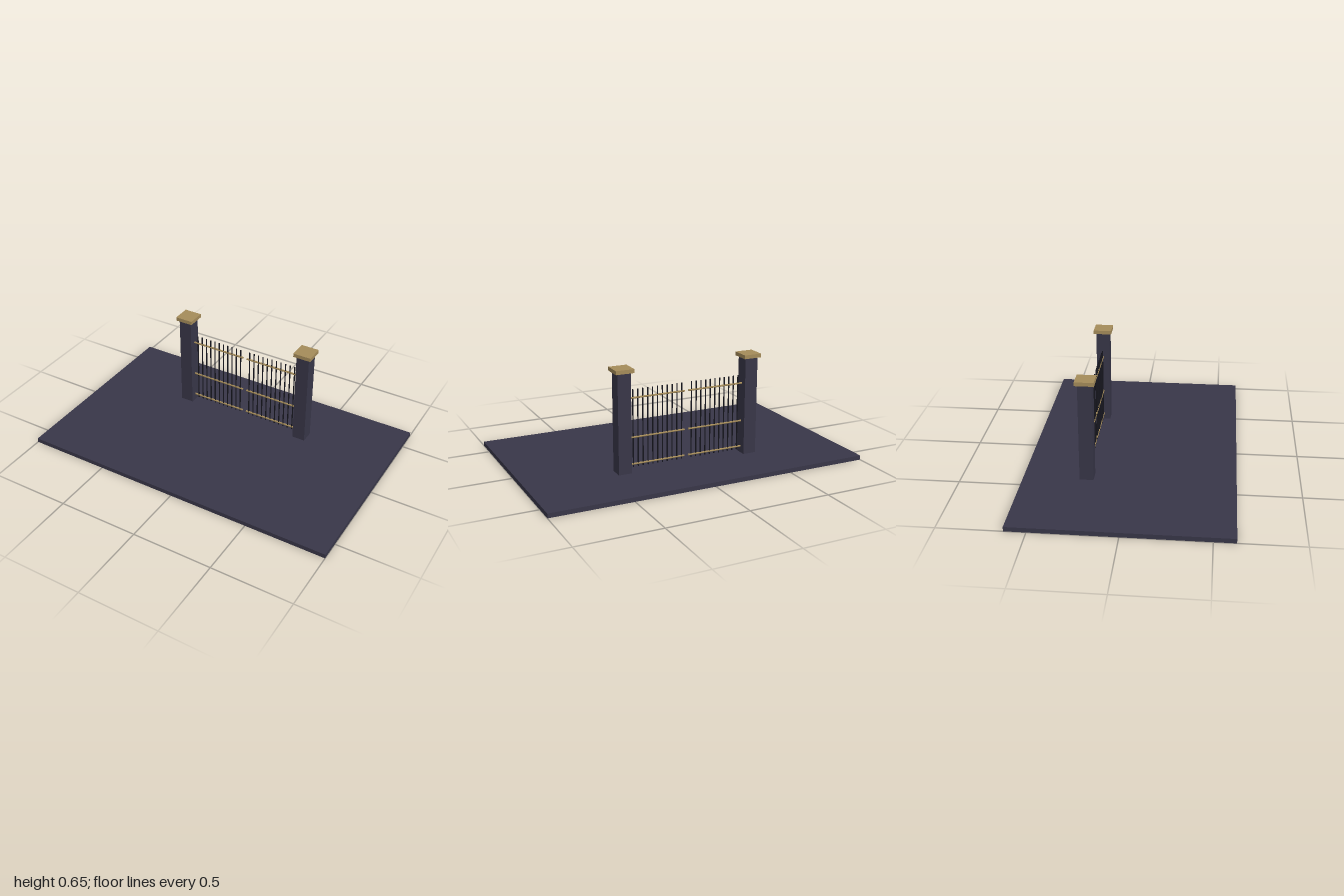
import * as THREE from 'three';

export function createModel() {
  const group = new THREE.Group();
  const mat = (name, color) => {
    const m = new THREE.MeshStandardMaterial({ color });
    m.name = name;
    return m;
  };
  const stone = mat('dark stone', 0x383648);
  const brass = mat('aged brass', 0xa58c5a);
  const iron = mat('black iron', 0x16161e);
  const gateZ = -0.25;

  const add = (parent, name, geometry, material, x, y, z) => {
    const mesh = new THREE.Mesh(geometry, material);
    mesh.name = name;
    mesh.position.set(x, y, z);
    parent.add(mesh);
    return mesh;
  };

  // Ground slab
  add(group, 'groundSlab', new THREE.BoxGeometry(2, 0.027, 1.25), stone, 0, 0.0135, 0);

  const pillarGeo = new THREE.BoxGeometry(0.082, 0.604, 0.082);
  const capGeo = new THREE.BoxGeometry(0.112, 0.023, 0.112);
  const barGeo = new THREE.CylinderGeometry(0.004, 0.004, 0.47, 8);
  const railGeo = new THREE.CylinderGeometry(0.0058, 0.0058, 0.361, 8).rotateZ(Math.PI / 2);

  for (const side of [-1, 1]) {
    const label = side > 0 ? 'left' : 'right';

    // Pillar with its overhanging cap
    add(group, label + 'Pillar', pillarGeo, stone, side * 0.413, 0.329, gateZ);
    add(group, label + 'PillarCap', capGeo, brass, side * 0.413, 0.6415, gateZ);

    // Gate leaf: upright bars held by three rails
    const leaf = new THREE.Group();
    leaf.name = label + 'GateLeaf';
    leaf.position.z = gateZ;
    group.add(leaf);
    for (let i = 0; i < 11; i++) {
      add(leaf, 'gateBar', barGeo, iron, side * (0.032 + i * 0.0313), 0.285, 0);
    }
    for (const y of [0.067, 0.231, 0.469]) {
      add(leaf, 'gateRail', railGeo, brass, side * 0.1935, y, 0);
    }
  }
  return group;
}
